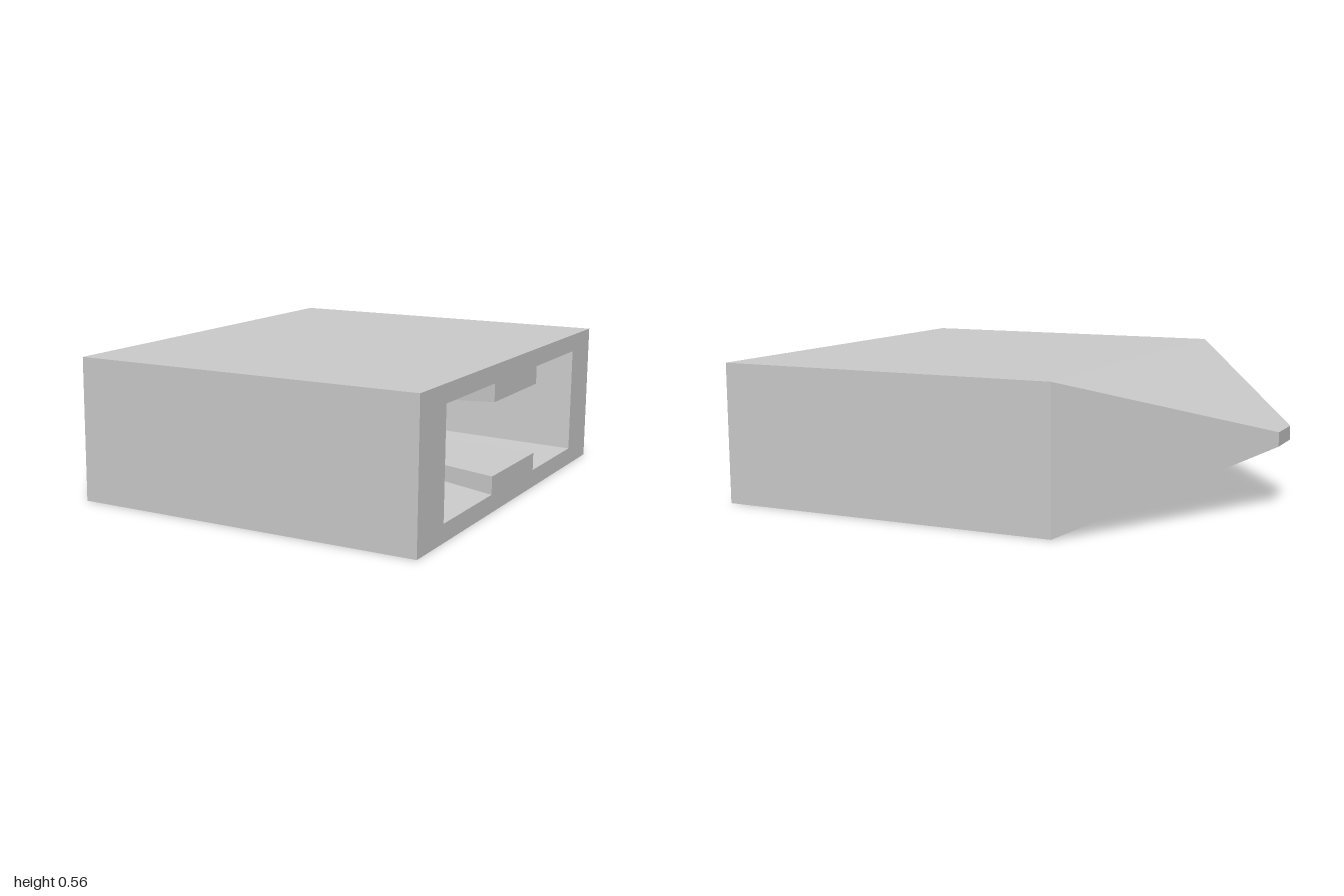
import * as THREE from 'three';

const MID = 0.28; // height of the long axis

// Cross-sections as [z, y offset from the axis], counter-clockwise seen from +x
// when z is mirrored (horizontal = -z).
const OUTER = [[0.855, -0.28], [-0.855, -0.28], [-0.855, 0.28], [0.855, 0.28]];
const CAVITY = [
  [0.645, -0.21], [0.215, -0.21], [0.215, -0.14], [-0.215, -0.14], [-0.215, -0.21], [-0.645, -0.21],
  [-0.645, 0.21], [-0.215, 0.21], [-0.215, 0.14], [0.215, 0.14], [0.215, 0.21], [0.645, 0.21],
];

// Walls between scaled copies of a section, given as [x, scale] rings from +x to -x
function loft(section, rings, inward) {
  const pos = [];
  const at = ([x, s], [z, y]) => [x, MID + y * s, z * s];
  for (let r = 0; r < rings.length - 1; r++) {
    section.forEach((p, i) => {
      const q = section[(i + 1) % section.length];
      const a = at(rings[r], p), b = at(rings[r], q);
      const c = at(rings[r + 1], q), d = at(rings[r + 1], p);
      pos.push(...(inward ? [a, b, c, a, c, d] : [a, c, b, a, d, c]).flat());
    });
  }
  const g = new THREE.BufferGeometry();
  g.setAttribute('position', new THREE.Float32BufferAttribute(pos, 3));
  g.computeVertexNormals();
  return g;
}

// Flat face at x; faces +x, or -x when flipped
function cap(section, x, scale, hole, flip) {
  const pts = (sec) => sec.map(([z, y]) => new THREE.Vector2((flip ? z : -z) * scale, y * scale));
  const shape = new THREE.Shape(pts(section));
  if (hole) shape.holes.push(new THREE.Path(pts(hole)));
  return new THREE.ShapeGeometry(shape)
    .rotateY(flip ? -Math.PI / 2 : Math.PI / 2)
    .translate(x, MID, 0);
}

export function createModel() {
  const model = new THREE.Group();
  model.name = 'connectorHousing';
  const material = new THREE.MeshStandardMaterial({ color: 0xcccccc, flatShading: true });
  const add = (name, geometry) => {
    const mesh = new THREE.Mesh(geometry, material);
    mesh.name = name;
    model.add(mesh);
  };

  // Outer block with its pyramid-like nose
  add('outerShell', loft(OUTER, [[1, 1], [-0.395, 1], [-1, 0.1]], false));
  add('noseTip', cap(OUTER, -1, 0.1, null, true));

  // Rim around the opening
  add('openingRim', cap(OUTER, 1, 1, CAVITY, false));

  // Tapering socket with a rib on its floor and ceiling
  const depth = -0.62, shrink = 0.225;
  add('socketWalls', loft(CAVITY, [[1, 1], [depth, shrink]], true));
  add('socketEnd', cap(CAVITY, depth, shrink, null, false));
  return model;
}
